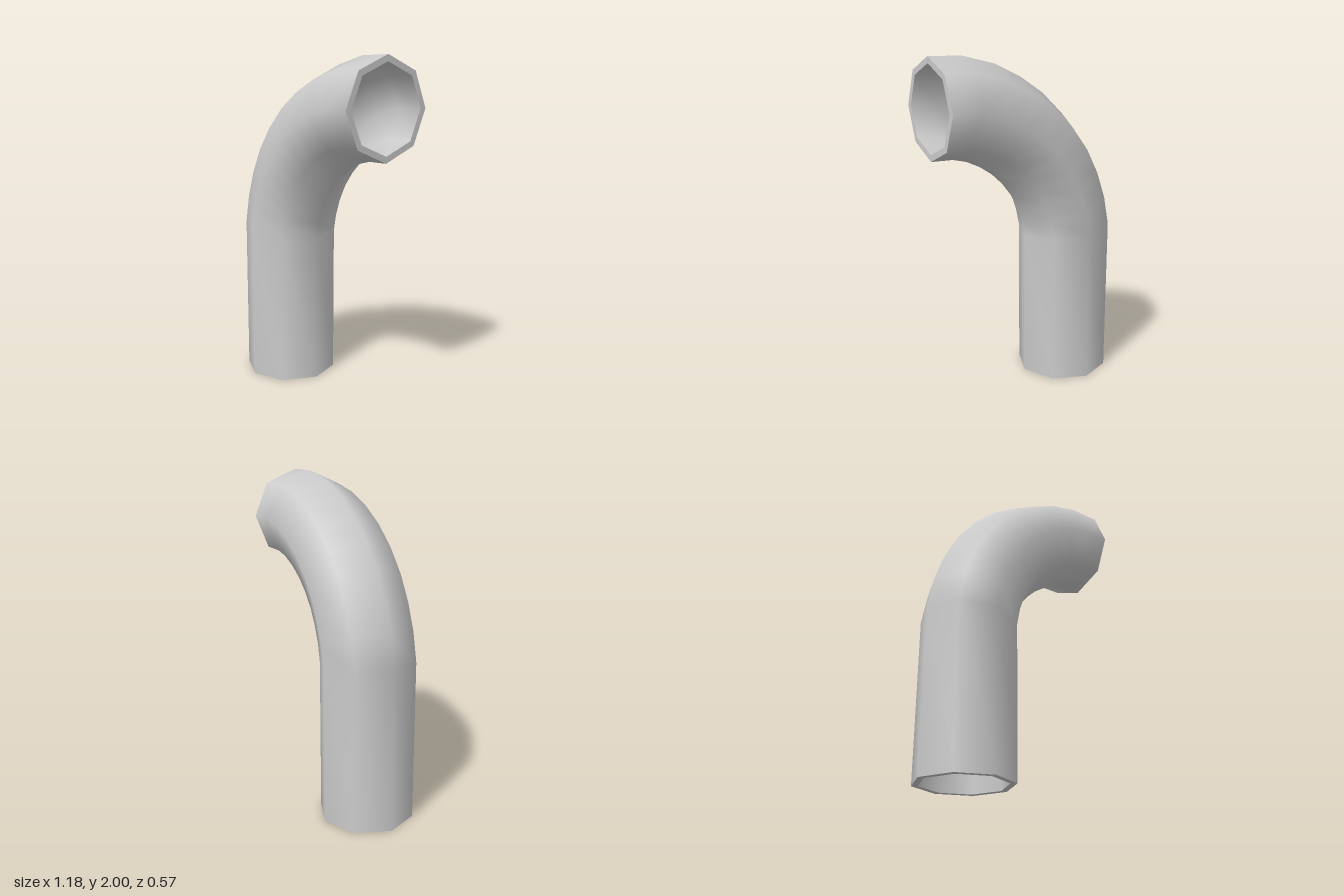
import * as THREE from 'three';

const SIDES = 8, OUTER = 0.285, INNER = 0.248;

// Centre line of the pipe in the x-y plane: riser, bend, short outlet
const PATH = [
  [-0.305, 0], [-0.303, 0.94], [-0.274, 1.08], [-0.226, 1.211], [-0.161, 1.332], [-0.073, 1.445],
  [0.032, 1.543], [0.15, 1.62], [0.279, 1.679], [0.42, 1.713], [0.59, 1.716],
].map(([x, y]) => new THREE.Vector2(x, y));

// Octagonal wall swept along the path with mitred joints
function pipeWall(radius, inward) {
  const pos = [], index = [], last = PATH.length - 1;
  PATH.forEach((p, i) => {
    const before = PATH[Math.max(i, 1)].clone().sub(PATH[Math.max(i, 1) - 1]).normalize();
    const after = PATH[Math.min(i + 1, last)].clone().sub(PATH[Math.min(i + 1, last) - 1]).normalize();
    const t = before.clone().add(after).normalize();
    // Open ends are cut square to the axes
    if (i === 0) t.set(0, 1);
    if (i === last) t.set(1, 0);
    const stretch = i === 0 || i === last ? 1 : 1 / t.dot(before);
    for (let j = 0; j < SIDES; j++) {
      const a = (j / SIDES) * Math.PI * 2;
      const r = radius * Math.cos(a) * stretch;
      pos.push(p.x - t.y * r, p.y + t.x * r, radius * Math.sin(a));
    }
  });
  for (let i = 0; i < last; i++) {
    for (let j = 0; j < SIDES; j++) {
      const k = (j + 1) % SIDES;
      const a = i * SIDES + j, b = i * SIDES + k, c = a + SIDES, d = b + SIDES;
      if (inward) index.push(a, c, b, b, c, d);
      else index.push(a, b, c, b, d, c);
    }
  }
  const geo = new THREE.BufferGeometry();
  geo.setAttribute('position', new THREE.Float32BufferAttribute(pos, 3));
  geo.setIndex(index);
  geo.computeVertexNormals();
  return geo;
}

export function createModel() {
  const group = new THREE.Group();
  group.name = 'pipeElbow';
  const material = new THREE.MeshStandardMaterial({ color: 0xcccccc });
  const add = (name, geo) => {
    const mesh = new THREE.Mesh(geo, material);
    mesh.name = name;
    group.add(mesh);
    return mesh;
  };

  add('outerWall', pipeWall(OUTER, false));
  add('innerWall', pipeWall(INNER, true));

  // Flat rims closing the wall thickness at both openings
  const rim = new THREE.RingGeometry(INNER, OUTER, SIDES, 1);
  const start = PATH[0], end = PATH[PATH.length - 1];
  const bottomRim = add('bottomRim', rim);
  bottomRim.position.set(start.x, start.y, 0);
  bottomRim.rotation.x = Math.PI / 2;
  const outletRim = add('outletRim', rim);
  outletRim.position.set(end.x, end.y, 0);
  outletRim.rotation.y = Math.PI / 2;

  return group;
}
